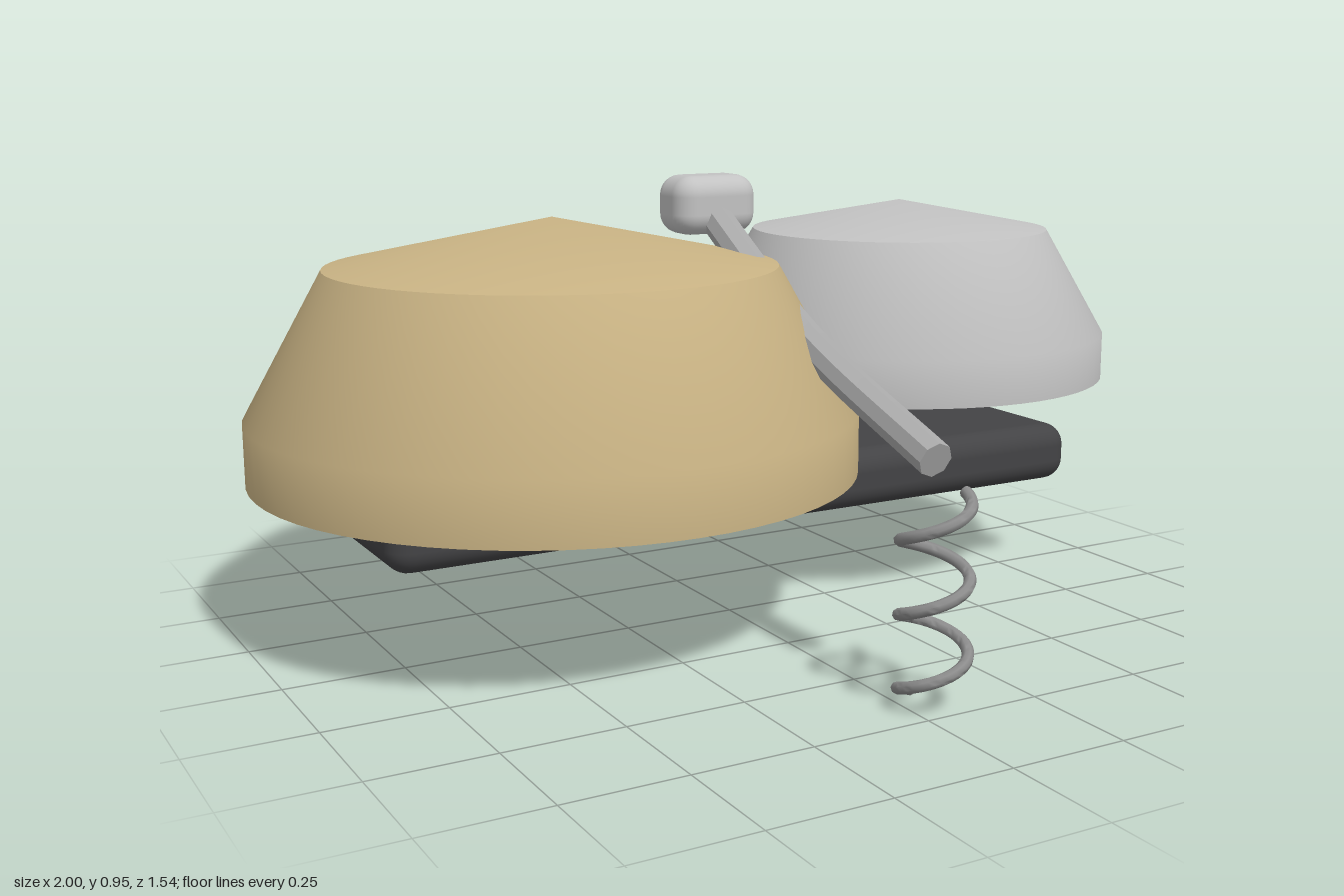
import * as THREE from 'three';
import { toCreasedNormals } from 'three/addons/utils/BufferGeometryUtils.js';
import { RoundedBoxGeometry } from 'three/addons/geometries/RoundedBoxGeometry.js';

const material = (name, color) => {
  const m = new THREE.MeshStandardMaterial({ color });
  m.name = name;
  return m;
};

// Hollow bell: inner shell from the apex down, the rim, then the outer shell back up.
function bellGeometry(r, topR, base, belt, shoulder, apex, wall) {
  const profile = [
    [0, apex - wall], [topR - wall * 0.8, shoulder - wall], [r - wall, belt - wall * 0.3], [r - wall, base],
    [r, base], [r, belt], [topR, shoulder], [0, apex],
  ].map(([x, y]) => new THREE.Vector2(x, y));
  return toCreasedNormals(new THREE.LatheGeometry(profile, 64), 0.6);
}

// Flat disc closing a tube end, facing along the given direction.
function endCap(point, direction, radius, sides) {
  const cap = new THREE.CircleGeometry(radius, sides);
  cap.applyQuaternion(new THREE.Quaternion().setFromUnitVectors(new THREE.Vector3(0, 0, 1), direction));
  return cap.translate(point.x, point.y, point.z);
}

// Tube with both ends closed.
function closedTube(name, curve, segments, radius, sides, crease, mat) {
  const group = new THREE.Group();
  group.name = name;
  const tube = toCreasedNormals(new THREE.TubeGeometry(curve, segments, radius, sides), crease);
  const caps = [
    endCap(curve.getPointAt(0), curve.getTangentAt(0).negate(), radius, sides),
    endCap(curve.getPointAt(1), curve.getTangentAt(1), radius, sides),
  ];
  [tube, ...caps].forEach((geometry, i) => {
    const mesh = new THREE.Mesh(geometry, mat);
    mesh.name = name + (i ? 'End' : 'Body');
    group.add(mesh);
  });
  return group;
}

class Helix extends THREE.Curve {
  getPoint(t, target = new THREE.Vector3()) {
    const a = t * 2.75 * Math.PI * 2;
    return target.set(0.05 + 0.066 * Math.cos(a), 0.412 - 0.4 * t, 0.69 + 0.066 * Math.sin(a));
  }
}

export function createModel() {
  const brass = material('brass', 0xc9b384);
  const silver = material('silver', 0xc2c2c2);
  const steel = material('steel', 0xaaaaaa);
  const wire = material('spring wire', 0x8c8c8c);
  const dark = material('dark base', 0x434345);

  const model = new THREE.Group();
  model.name = 'twinBells';
  const add = (name, geometry, mat, x, y, z) => {
    const mesh = new THREE.Mesh(geometry, mat);
    mesh.name = name;
    mesh.position.set(x, y, z);
    model.add(mesh);
  };

  // Bells
  add('largeBell', bellGeometry(0.645, 0.475, 0.345, 0.475, 0.78, 0.88, 0.045), brass, -0.355, 0, -0.125);
  add('smallBell', bellGeometry(0.475, 0.34, 0.478, 0.58, 0.815, 0.88, 0.04), silver, 0.525, 0, -0.125);

  // Base bar under the bells
  add('baseBar', new RoundedBoxGeometry(1.69, 0.135, 0.405, 4, 0.05), dark, 0.05, 0.275, -0.125);

  // Striker head and its bent arm
  add('strikerHead', new RoundedBoxGeometry(0.2, 0.13, 0.135, 4, 0.045), silver, 0.05, 0.885, -0.19);
  const armPath = new THREE.CatmullRomCurve3(
    [[0.88, -0.19], [0.75, 0.03], [0.665, 0.18], [0.592, 0.35], [0.478, 0.685]]
      .map(([y, z]) => new THREE.Vector3(0.05, y, z)),
  );
  model.add(closedTube('strikerArm', armPath, 24, 0.036, 8, 0.4, steel));

  // Hanging coil spring
  model.add(closedTube('spring', new Helix(), 120, 0.012, 8, 1, wire));

  return model;
}
